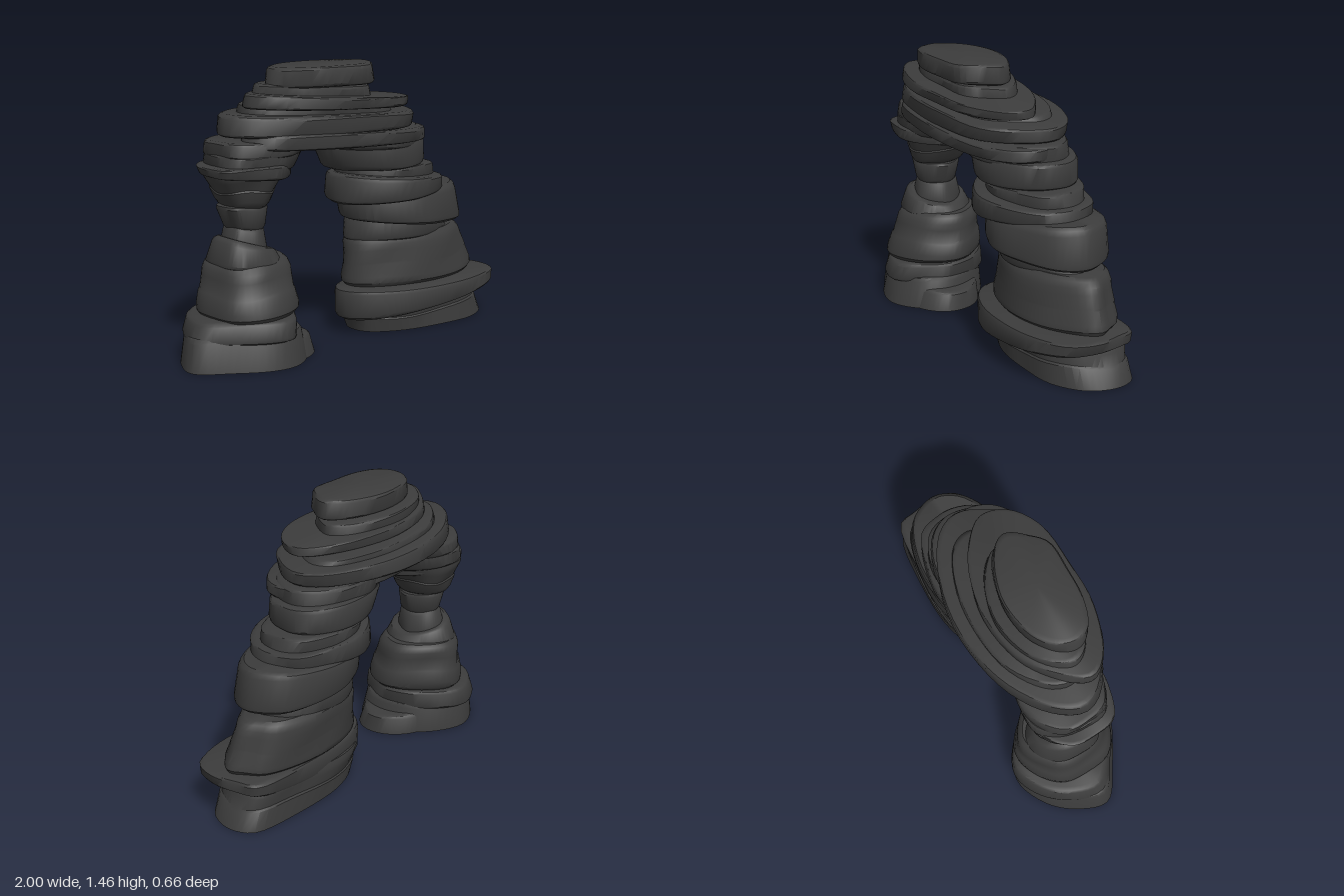
import * as THREE from 'three';
import { toCreasedNormals, mergeVertices } from 'three/addons/utils/BufferGeometryUtils.js';

const rock = new THREE.MeshStandardMaterial({ color: 0x3c3c3c, side: THREE.DoubleSide });
const SIDES = 48;
const lerp = THREE.MathUtils.lerp;

function seeded(seed) {
  let s = seed * 7919 + 17;
  return () => (s = (s * 16807) % 2147483647) / 2147483647;
}

// Plan corners (x, z) of each formation, in -1..1
const plans = {
  slimFoot: [[1, 0.2], [0.8, 0.65], [0.4, 1], [0, 0.95], [-0.55, 0.7], [-1, 0.28],
    [-0.9, -0.3], [-0.55, -0.77], [0, -1], [0.5, -0.8], [0.88, -0.35]],
  slimBody: [[1, 0], [0.72, 0.6], [0.2, 0.97], [-0.35, 0.95], [-0.82, 0.65], [-1, 0.15],
    [-0.93, -0.4], [-0.55, -0.88], [0, -1], [0.6, -0.7]],
  broadFoot: [[1, 0.1], [0.88, 0.65], [0.5, 0.97], [0.05, 1], [-0.45, 0.85], [-0.85, 0.45], [-1, -0.1],
    [-0.85, -0.6], [-0.4, -0.95], [0.3, -1], [0.85, -0.88], [1, -0.5]],
  broadBody: [[1, 0.05], [0.84, 0.5], [0.4, 0.88], [-0.1, 1], [-0.62, 0.72], [-0.93, 0.3], [-1, -0.15],
    [-0.75, -0.65], [-0.25, -0.97], [0.3, -0.95], [0.76, -0.68], [0.95, -0.3]],
  bridge: [[1, -0.1], [0.87, 0.5], [0.58, 0.92], [0.1, 1], [-0.35, 0.95], [-0.82, 0.72], [-1, 0.25],
    [-0.86, -0.3], [-0.5, -0.82], [0, -1], [0.42, -0.9], [0.83, -0.55]],
};

// Smooth outline through the corners, slightly varied per layer, refitted to -1..1
function outline(corners, rand) {
  const curve = new THREE.CatmullRomCurve3(corners.map(([x, z]) => {
    const r = 0.96 + 0.08 * rand();
    return new THREE.Vector3(x * r, 0, z * r);
  }), true);
  const pts = curve.getSpacedPoints(SIDES).slice(0, SIDES);
  for (const axis of ['x', 'z']) {
    const v = pts.map(p => p[axis]), lo = Math.min(...v), hi = Math.max(...v);
    pts.forEach(p => { p[axis] = (p[axis] - lo) / (hi - lo) * 2 - 1; });
  }
  return pts;
}

// One weathered layer: x range at bottom and top, y of the underside and the
// upper side (left end, right end), z range at bottom and top
function slab(corners, seed, xb, xt, yb, yt, zb, zt = zb) {
  const rand = seeded(seed), plan = outline(corners, rand);
  const grounded = yb[0] === 0;
  const h = (yt[0] + yt[1] - yb[0] - yb[1]) / 2;
  const edge = Math.min(0.022, h * 0.22);
  const profile = grounded ? [[0, 0]] : [[0, 1.2], [0.07, 0.3], [0.18, 0]];
  if (h > 0.18) profile.push([0.42, 0.3 * rand()], [0.46, 0.4 * rand()], [0.7, 0.2 * rand()]);
  profile.push([0.83, 0], [0.94, 0.35], [1, 1.2]);
  const pos = [], index = [];
  const point = (t, inset, px, pz, a) => {
    const x0 = lerp(xb[0], xt[0], t) + inset, x1 = lerp(xb[1], xt[1], t) - inset;
    const z0 = lerp(zb[0], zt[0], t) + inset, z1 = lerp(zb[1], zt[1], t) - inset;
    const u = (px + 1) / 2;
    const ripple = 0.01 * Math.sin(3 * a + seed) * Math.sin(Math.PI * t);
    pos.push(lerp(x0, x1, u), lerp(lerp(yb[0], yb[1], u), lerp(yt[0], yt[1], u), t) + ripple,
      lerp(z0, z1, (pz + 1) / 2));
  };
  for (const [t, k] of profile) {
    plan.forEach((p, i) => {
      const a = i / SIDES * Math.PI * 2;
      const chip = 0.004 * Math.sin(5 * a + seed + t * 4) * Math.sin(Math.PI * t);
      point(t, k * edge + chip, p.x, p.z, a);
    });
  }
  for (let r = 0; r < profile.length - 1; r++) {
    for (let i = 0; i < SIDES; i++) {
      const j = (i + 1) % SIDES, a = r * SIDES + i, b = r * SIDES + j;
      index.push(a, a + SIDES, b, b, a + SIDES, b + SIDES);
    }
  }
  // Top cap, and an underside unless the layer stands open on the ground
  const low = pos.length / 3, last = (profile.length - 1) * SIDES;
  point(0, 0, 0, 0, 0);
  point(1, 0, 0, 0, 0);
  for (let i = 0; i < SIDES; i++) {
    const j = (i + 1) % SIDES;
    index.push(low + 1, last + j, last + i);
    if (!grounded) index.push(low, i, j);
  }
  const geo = new THREE.BufferGeometry();
  geo.setAttribute('position', new THREE.Float32BufferAttribute(pos, 3));
  geo.setIndex(index);
  return toCreasedNormals(mergeVertices(geo), 0.6);
}

const layers = {
  // Slim pillar: spreading foot, then a body with a pinched neck
  slimFoot: [
    [[-1, -0.34], [-0.97, -0.36], [0, 0], [0.17, 0.17], [-0.28, 0.33], [-0.26, 0.29]],
    [[-0.75, -0.26], [-0.75, -0.28], [0, 0], [0.15, 0.1], [-0.16, 0.25], [-0.15, 0.22]],
    [[-0.97, -0.37], [-0.93, -0.37], [0.13, 0.13], [0.24, 0.24], [-0.3, 0.33], [-0.28, 0.3]],
  ],
  slimBody: [
    [[-0.86, -0.33], [-0.8, -0.37], [0.23, 0.25], [0.51, 0.51], [-0.26, 0.3], [-0.23, 0.2]],
    [[-0.8, -0.41], [-0.76, -0.46], [0.48, 0.48], [0.63, 0.55], [-0.21, 0.2], [-0.16, 0.16]],
    [[-0.74, -0.48], [-0.7, -0.51], [0.54, 0.52], [0.69, 0.67], [-0.15, 0.14], [-0.11, 0.11]],
    [[-0.7, -0.51], [-0.75, -0.48], [0.66, 0.65], [0.79, 0.78], [-0.11, 0.11], [-0.14, 0.13]],
    [[-0.72, -0.49], [-0.82, -0.36], [0.77, 0.77], [0.97, 0.98], [-0.15, 0.14], [-0.22, 0.21]],
    [[-0.83, -0.36], [-0.85, -0.35], [0.94, 0.91], [0.99, 1], [-0.2, 0.24]],
    [[-0.79, -0.34], [-0.79, -0.27], [0.97, 0.95], [1.05, 1.06], [-0.22, 0.22]],
    [[-0.79, -0.27], [-0.79, -0.16], [1.03, 1.03], [1.11, 1.1], [-0.22, 0.23]],
  ],
  // Broad leaning pillar
  broadFoot: [
    [[0.11, 1], [0.04, 0.9], [0, 0], [0.17, 0.23], [-0.23, 0.2]],
    [[0, 0.98], [-0.01, 0.99], [0.08, 0.19], [0.25, 0.26], [-0.23, 0.29]],
  ],
  broadBody: [
    [[0.05, 0.95], [0.09, 0.84], [0.25, 0.26], [0.52, 0.52], [-0.25, 0.22], [-0.25, 0.17]],
    [[0.08, 0.74], [0.1, 0.7], [0.49, 0.5], [0.63, 0.6], [-0.25, 0.18]],
    [[0.06, 0.82], [0.04, 0.78], [0.61, 0.55], [0.74, 0.77], [-0.28, 0.27], [-0.28, 0.25]],
    [[-0.04, 0.66], [-0.03, 0.65], [0.71, 0.75], [0.87, 0.82], [-0.28, 0.28]],
    [[0.02, 0.61], [0.02, 0.59], [0.82, 0.81], [0.91, 0.89], [-0.25, 0.21]],
    [[-0.05, 0.54], [-0.13, 0.54], [0.89, 0.89], [1.04, 1.03], [-0.26, 0.23]],
    [[-0.13, 0.5], [-0.18, 0.49], [1.01, 1], [1.11, 1.11], [-0.24, 0.25]],
  ],
  // Flat layers bridging both pillars
  bridge: [
    [[-0.68, 0.49], [-0.66, 0.49], [1.07, 1.03], [1.15, 1.1], [-0.23, 0.32]],
    [[-0.76, 0.45], [-0.74, 0.46], [1.13, 1.11], [1.24, 1.19], [-0.33, 0.3]],
    [[-0.63, 0.36], [-0.61, 0.32], [1.22, 1.17], [1.28, 1.22], [-0.26, 0.23]],
    [[-0.67, 0.36], [-0.65, 0.36], [1.27, 1.22], [1.34, 1.27], [-0.2, 0.31]],
    [[-0.58, 0.16], [-0.56, 0.14], [1.31, 1.25], [1.38, 1.34], [-0.17, 0.22]],
    [[-0.52, 0.16], [-0.5, 0.14], [1.36, 1.35], [1.46, 1.46], [-0.11, 0.25]],
  ],
};

export function createModel() {
  const model = new THREE.Group();
  model.name = 'rockArch';
  let seed = 1;
  for (const [name, list] of Object.entries(layers)) {
    const group = new THREE.Group();
    group.name = name;
    list.forEach((layer, i) => {
      const mesh = new THREE.Mesh(slab(plans[name], seed++, ...layer), rock);
      mesh.name = `${name}Layer${i + 1}`;
      group.add(mesh);
    });
    model.add(group);
  }
  return model;
}
